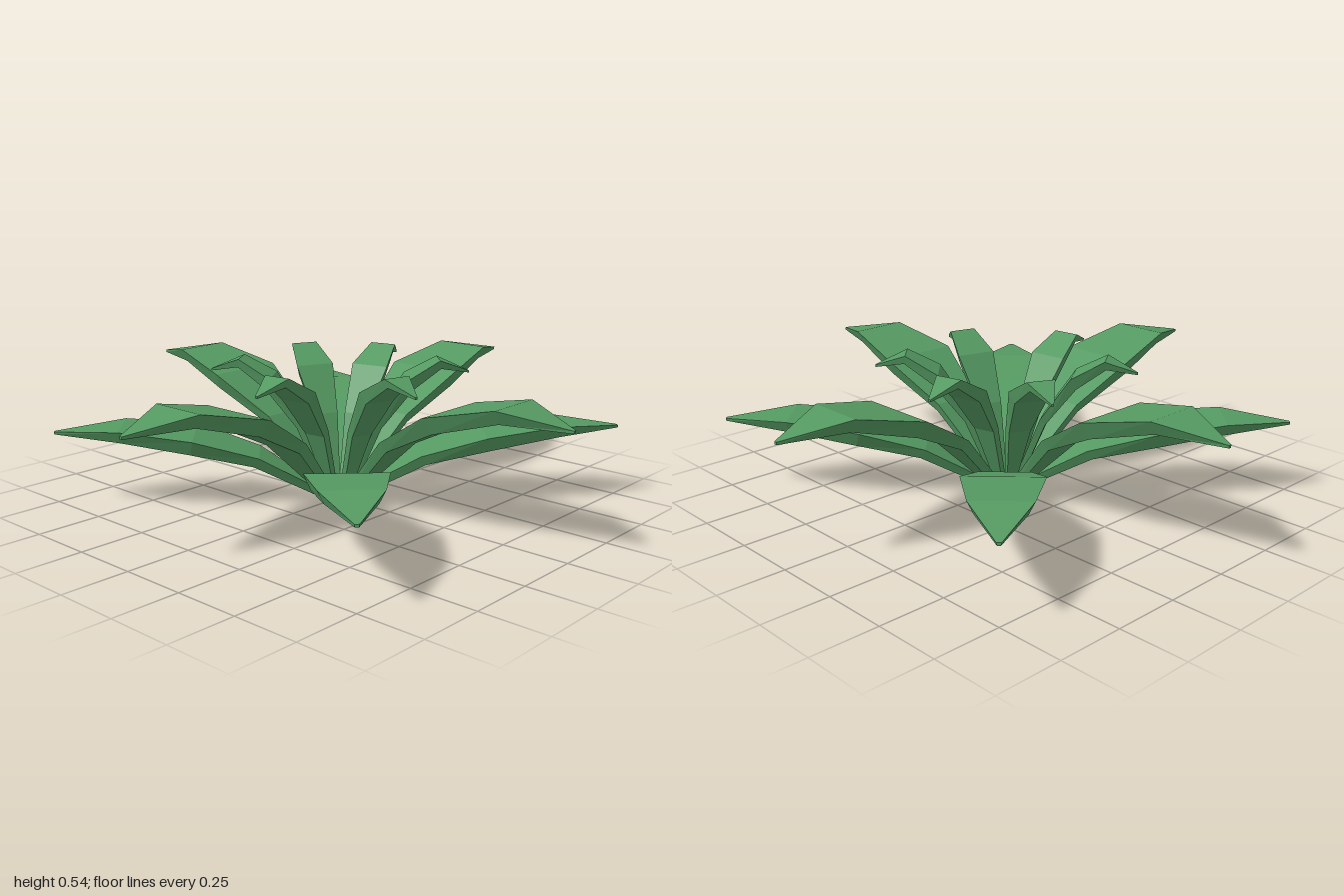
import * as THREE from 'three';

const leafMaterial = new THREE.MeshStandardMaterial({ color: 0x559a62, flatShading: true });

// Closed leaf along +z. Each station: [top z, top y, top half width, bottom z, bottom y, bottom half width]
function leafGeometry(stations) {
  const points = [];
  const index = [];
  const quad = (a, b, c, d) => index.push(a, b, c, a, c, d);
  for (const [tz, ty, tw, bz, by, bw] of stations) {
    points.push(-tw, ty, tz, tw, ty, tz, bw, by, bz, -bw, by, bz);
  }
  for (let i = 0; i < stations.length - 1; i++) {
    for (let j = 0; j < 4; j++) {
      const k = (j + 1) % 4;
      quad(i * 4 + j, i * 4 + 4 + j, i * 4 + 4 + k, i * 4 + k);
    }
  }
  const e = (stations.length - 1) * 4;
  quad(0, 1, 2, 3);
  quad(e + 3, e + 2, e + 1, e);
  const indexed = new THREE.BufferGeometry();
  indexed.setAttribute('position', new THREE.Float32BufferAttribute(points, 3));
  indexed.setIndex(index);
  const geometry = indexed.toNonIndexed();
  geometry.computeVertexNormals();
  return geometry;
}

// One ring of equal leaves, placed at the given headings (degrees from +x towards +z)
function leafRing(name, stations, headings) {
  const ring = new THREE.Group();
  ring.name = name + 'Ring';
  const geometry = leafGeometry(stations);
  for (const heading of headings) {
    const leaf = new THREE.Mesh(geometry, leafMaterial);
    leaf.name = name;
    leaf.rotation.y = Math.PI / 2 - THREE.MathUtils.degToRad(heading);
    ring.add(leaf);
  }
  return ring;
}

export function createModel() {
  const plant = new THREE.Group();
  plant.name = 'leafyPlant';

  // Long arching leaves
  plant.add(leafRing('archingLeaf', [
    [0.035, 0.02, 0.022, 0.05, 0.0, 0.018],
    [0.28, 0.29, 0.098, 0.30, 0.255, 0.085],
    [0.51, 0.43, 0.155, 0.53, 0.37, 0.125],
    [0.77, 0.49, 0.11, 0.77, 0.44, 0.085],
    [1.0, 0.445, 0.006, 1.0, 0.435, 0.005],
  ], [0, 90, 180, 270]));

  // Low spreading leaves on the diagonals
  plant.add(leafRing('lowLeaf', [
    [0.035, 0.02, 0.022, 0.055, 0.0, 0.018],
    [0.30, 0.185, 0.095, 0.32, 0.15, 0.085],
    [0.54, 0.265, 0.145, 0.55, 0.21, 0.12],
    [0.81, 0.295, 0.107, 0.81, 0.25, 0.085],
    [1.06, 0.275, 0.008, 1.06, 0.265, 0.006],
  ], [45, 135, 225, 315]));

  // Short upright leaves in the heart, slightly uneven in spacing
  plant.add(leafRing('innerLeaf', [
    [0.025, 0.02, 0.016, 0.04, 0.0, 0.013],
    [0.135, 0.3, 0.048, 0.155, 0.28, 0.042],
    [0.25, 0.47, 0.075, 0.27, 0.43, 0.06],
    [0.37, 0.537, 0.052, 0.375, 0.505, 0.042],
    [0.485, 0.49, 0.005, 0.485, 0.482, 0.004],
  ], [-14, 44, 105.5, 173, 236, 295.5]));

  return plant;
}
